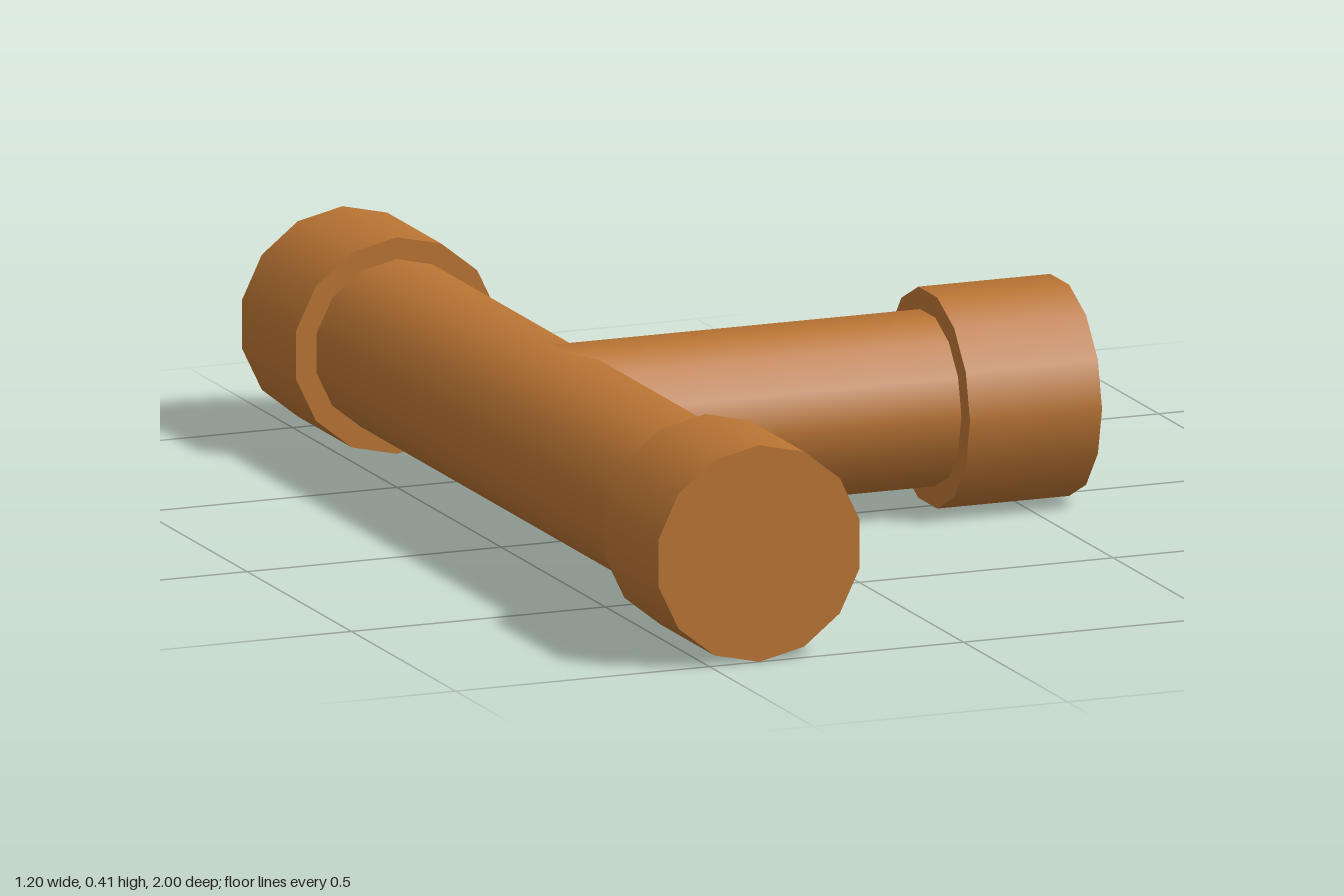
import * as THREE from 'three';

const SIDES = 14;
const PIPE_R = 0.162;
const COLLAR_R = 0.203;
const COLLAR_LEN = 0.26;
const RUN_X = -0.402; // axis of the straight run

export function createModel() {
  const group = new THREE.Group();
  group.name = 'teeFitting';
  const copper = new THREE.MeshStandardMaterial({ color: 0xb87333 });
  copper.name = 'copper';

  // Smooth-sided cylinder lying along z or x, centred at the given point
  function tube(name, axis, radius, length, x, z) {
    const geometry = new THREE.CylinderGeometry(radius, radius, length, SIDES);
    if (axis === 'z') geometry.rotateX(Math.PI / 2);
    else geometry.rotateZ(-Math.PI / 2);
    const mesh = new THREE.Mesh(geometry, copper);
    mesh.name = name;
    mesh.position.set(x, COLLAR_R, z);
    group.add(mesh);
  }

  // Straight run with a collar at each end
  tube('runPipe', 'z', PIPE_R, 1.9, RUN_X, 0);
  for (const [name, side] of [['frontCollar', 1], ['backCollar', -1]]) {
    tube(name, 'z', COLLAR_R, COLLAR_LEN, RUN_X, side * (1 - COLLAR_LEN / 2));
  }

  // Side branch from the run's axis, with its collar
  const branchEnd = 0.55;
  tube('branchPipe', 'x', PIPE_R, branchEnd - RUN_X, (branchEnd + RUN_X) / 2, 0);
  tube('branchCollar', 'x', COLLAR_R, COLLAR_LEN, 0.6 - COLLAR_LEN / 2, 0);

  return group;
}
